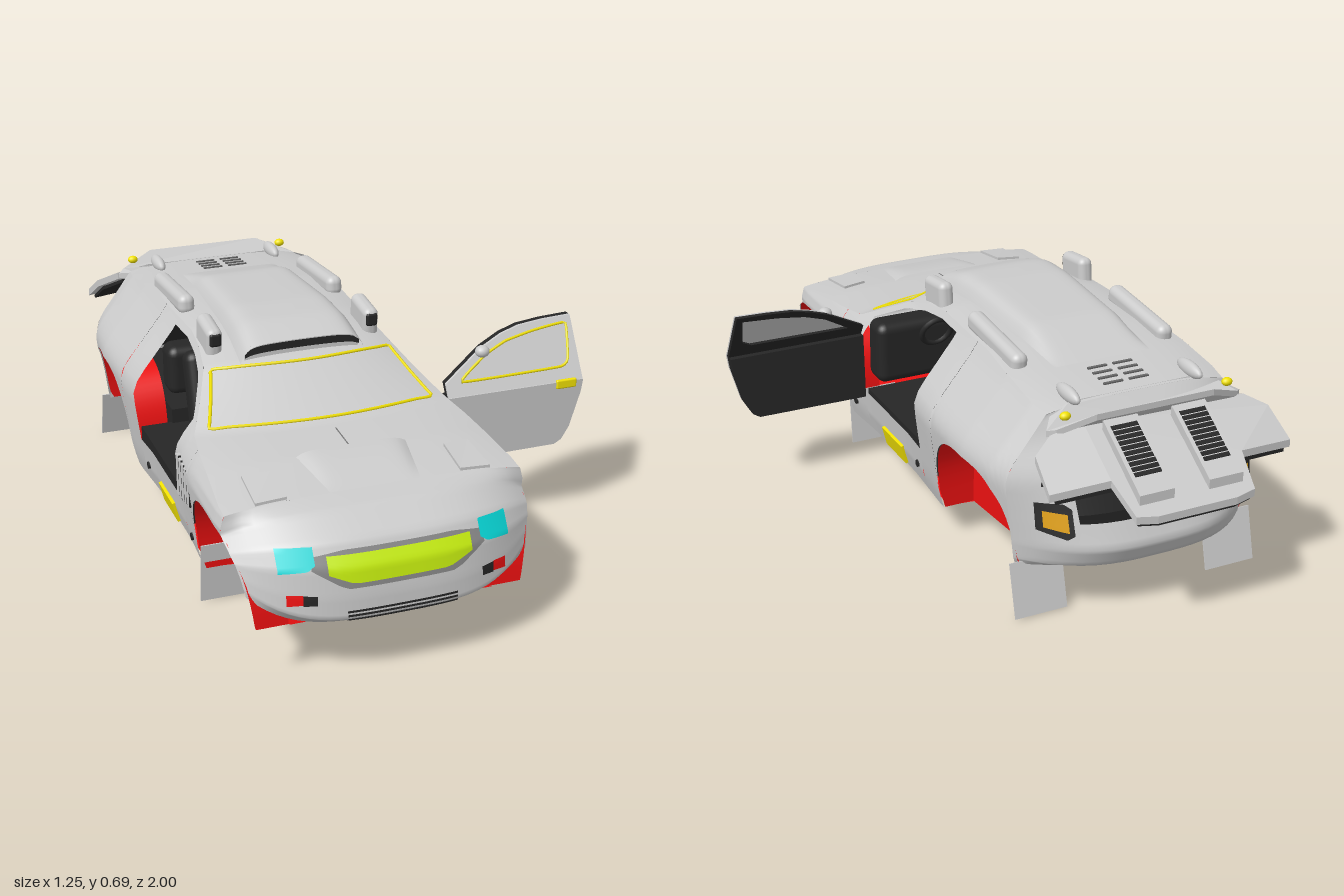
import * as THREE from 'three';
import { RoundedBoxGeometry } from 'three/addons/geometries/RoundedBoxGeometry.js';

const GREY = 0xcccccc, DARK = 0x262626, RED = 0xee1111, YELLOW = 0xf2e205, CYAN = 0x08d8d8, LIME = 0xc8f010;
const mat = (color) => new THREE.MeshStandardMaterial({ color, side: THREE.DoubleSide });
const lerp = THREE.MathUtils.lerp;

// piecewise-linear lookup in an ascending [key, value] table
function interp(table, t) {
  if (t <= table[0][0]) return table[0][1];
  for (let i = 1; i < table.length; i++) {
    const [a, va] = table[i - 1], [b, vb] = table[i];
    if (t <= b) return lerp(va, vb, (t - a) / (b - a));
  }
  return table[table.length - 1][1];
}

// body rules: half width by height, plan taper, edge and centre height of the top deck
const SIDE = [[.11, .375], [.17, .392], [.25, .402], [.35, .415], [.4, .42], [.43, .412], [.46, .393], [.5, .36], [.585, .292], [.63, .262]];
const PLAN = [[-.85, .86], [-.7, .91], [-.6, .98], [-.45, 1.01], [-.2, 1], [0, .965], [.3, .965], [.5, 1], [.75, 1.01], [.85, .99], [.92, .95]];
const EDGE = [[-.67, .581], [-.48, .605], [-.3, .622], [0, .622], [.1, .61], [.2, .585], [.4, .48], [.6, .46], [.8, .435]];
const CENTRE = [[-.67, .6], [-.48, .618], [-.3, .636], [0, .64], [.1, .63], [.2, .602], [.4, .487], [.6, .476], [.8, .452]];
const BOW = [[-.1, 0], [.2, .05], [.4, .06], [.8, 0]];
const FLOOR = [[-.68, .15], [-.24, .11], [.8, .11], [.93, .168]];
const halfX = (z, y) => interp(SIDE, y) * interp(PLAN, z);
const edgeY = (z) => interp(EDGE, z);
const floorY = (z) => interp(FLOOR, z);

const FRONT = .695, REAR = -.455, ARCH = .22;
const archY = (c) => (z) => .11 + .28 * Math.cbrt(Math.max(0, 1 - Math.abs((z - c) / ARCH) ** 3));

function deck(u, s) {
  const e = edgeY(s);
  return [u * halfX(s, e), lerp(interp(CENTRE, s), e, u ** 4), s + interp(BOW, s) * (1 - u * u)];
}
function deckY(x, z) {
  let s = z, u = 0;
  for (let i = 0; i < 6; i++) {
    u = THREE.MathUtils.clamp(x / halfX(s, edgeY(s)), -1, 1);
    s = z - interp(BOW, s) * (1 - u * u);
  }
  return deck(u, s)[1];
}
// end caps: rows of [centre z, centre y, edge z, edge y] blended across the car
const NOSE = [[.95, .16, .9, .25], [1, .19, .895, .27], [.997, .25, .885, .3], [.985, .33, .87, .33], [.95, .39, .845, .355], [.87, .44, .8, .379], [.8, .452, .8, .435]];
const TAIL = [[-.76, .15, -.665, .15], [-.82, .17, -.665, .17], [-.85, .23, -.665, .225], [-.82, .3, -.665, .3], [-.775, .4, -.665, .4], [-.73, .5, -.665, .5], [-.7, .565, -.665, .56], [-.665, .6, -.665, .581]];
const cap = (rows) => (u, v) => {
  const t = v * (rows.length - 1), i = Math.min(Math.floor(t), rows.length - 2);
  const [zc, yc, ze, ye] = rows[i].map((a, k) => lerp(a, rows[i + 1][k], t - i));
  return [u * halfX(ze, ye), lerp(yc, ye, u ** 4), lerp(zc, ze, Math.abs(u) ** 3)];
};
const nose = cap(NOSE), tail = cap(TAIL);

// surface grid from f(a, b), a and b in 0..1, with optional skipped cells
function grid(f, na, nb, skip = () => false) {
  const pos = [], idx = [], w = nb + 1;
  for (let i = 0; i <= na; i++) for (let j = 0; j <= nb; j++) pos.push(...f(i / na, j / nb));
  for (let i = 0; i < na; i++) for (let j = 0; j < nb; j++) {
    if (skip((i + .5) / na, (j + .5) / nb)) continue;
    const a = i * w + j, b = a + w;
    idx.push(a, b, a + 1, b, b + 1, a + 1);
  }
  const g = new THREE.BufferGeometry();
  g.setAttribute('position', new THREE.Float32BufferAttribute(pos, 3));
  g.setIndex(idx);
  g.computeVertexNormals();
  return g;
}
// flat plan outline of [x, z] points given thickness, laid on height yOf(x, z)
function slab(pts, h, yOf) {
  const g = new THREE.ExtrudeGeometry(new THREE.Shape(pts.map(([x, z]) => new THREE.Vector2(x, -z))), { depth: h, bevelEnabled: false });
  g.rotateX(-Math.PI / 2);
  const p = g.attributes.position;
  for (let i = 0; i < p.count; i++) p.setY(i, p.getY(i) + yOf(p.getX(i), p.getZ(i)));
  g.computeVertexNormals();
  return g;
}
const mirrored = (half) => [...half, ...half.map(([x, z]) => [-x, z]).reverse()];
const rect = (x0, x1, z0, z1) => [[x0, z0], [x1, z0], [x1, z1], [x0, z1]];
// patch on an end cap, from [x, bottom y, top y] columns
function band(surface, cols, lift) {
  const lo = cols.map((c) => [c[0], c[1]]), hi = cols.map((c) => [c[0], c[2]]);
  return (s) => grid((a, b) => {
    const x = lerp(cols[0][0], cols[cols.length - 1][0], a), y = lerp(interp(lo, x), interp(hi, x), b);
    let v0 = 0, v1 = 1;
    for (let k = 0; k < 24; k++) { const m = (v0 + v1) / 2; if (surface(x / .41, m)[1] < y) v0 = m; else v1 = m; }
    return [s * x, y, surface(x / .41, v0)[2] + lift];
  }, 20, 8);
}

export function createModel() {
  const root = new THREE.Group(), car = new THREE.Group();
  root.name = 'car'; car.name = 'carBody'; car.position.x = -.205;
  root.add(car);
  const add = (name, geo, color = GREY, pos) => {
    const m = new THREE.Mesh(geo, mat(color));
    m.name = name;
    if (pos) m.position.set(...pos);
    car.add(m);
    return m;
  };

  // shell: deck (bonnet, windscreen, roof), nose and tail with its open hatchway
  add('deck', grid((a, b) => deck(a * 2 - 1, lerp(.8, -.665, b)), 24, 90));
  add('headliner', grid((a, b) => { const p = deck((a * 2 - 1) * .97, lerp(.19, -.62, b)); return [p[0], p[1] - .015, p[2]]; }, 16, 20), DARK);
  add('nose', grid((a, b) => nose(a * 2 - 1, b), 32, 30));
  add('tail', grid((a, b) => tail(a * 2 - 1, b), 20, 28, (a, b) => b > 3 / 7 && b < 6 / 7 && Math.abs(a * 2 - 1) < (b > 4 / 7 ? .8 : .6)));
  add('trunkLining', grid((a, b) => { const p = tail((a * 2 - 1) * .9, lerp(.4, .9, b)); return [p[0], p[1], p[2] + .08]; }, 12, 8), DARK);

  for (const s of [-1, 1]) {
    // side panels, left open at the doors and wheel arches
    const side = (name, z0, z1, low, high, n = 12) => add(name, grid((a, b) => {
      const z = lerp(z0, z1, a), y = lerp(low(z), high(z), b);
      return [s * halfX(z, y), y, z];
    }, n, 14));
    const sillY = () => .11;
    side('frontFender', .8, .476, archY(FRONT), edgeY, 28);
    side('cowlSide', .475, .33, sillY, edgeY);
    side('sill', .33, -.11, sillY, () => .25);
    side('roofRail', .4, -.11, (z) => edgeY(z) - .02, edgeY, 24);
    side('doorPost', -.11, -.235, sillY, edgeY);
    side('rearQuarter', -.236, -.665, archY(REAR), edgeY, 40);

    // wheel wells, trimmed to the rising ends of the floor
    for (const c of [FRONT, REAR]) {
      const arc = (t) => {
        const q = Math.cos(t * Math.PI), r = Math.sin(t * Math.PI);
        const z = c + ARCH * Math.sign(q) * Math.abs(q) ** (2 / 3);
        return [z, Math.max(floorY(z), .11 + .28 * Math.abs(r) ** (2 / 3))];
      };
      add('wheelWell', grid((a, b) => {
        const [z, y] = arc(a);
        return [s * lerp(.28, halfX(z, y) - .004, b), y, z];
      }, 32, 1), RED);
      const outline = Array.from({ length: 33 }, (_, i) => arc(i / 32));
      if (c === FRONT) outline.push([.48, .11], [.8, .11]);
      const wall = new THREE.Shape(outline.map((p) => new THREE.Vector2(...p)));
      add('wheelWellWall', new THREE.ShapeGeometry(wall).rotateY(-Math.PI / 2), RED, [s * .28, 0, 0]);
    }
    // mud flaps
    for (const [z, h, tilt] of [[.47, .18, .09], [-.7, .16, .26]])
      add('mudFlap', new THREE.BoxGeometry(.16, h, .004), GREY, [s * .305, h / 2 + .003, z]).rotation.x = tilt;

    // lamps
    add('headlight', band(nose, [[.225, .343, .384], [.245, .33, .384], [.315, .323, .38]], .005)(s), CYAN);
    add('fogLamp', band(nose, [[.26, .243, .27], [.3, .24, .27]], .005)(s), RED);
    add('fogLampHousing', band(nose, [[.225, .24, .265], [.26, .24, .268]], .005)(s), DARK);
    add('tailLampHousing', band(tail, [[.25, .275, .345], [.27, .265, .36], [.34, .29, .365]], -.008)(s), DARK);
    add('tailLamp', band(tail, [[.265, .285, .335], [.325, .3, .345]], -.014)(s), 0xe0a010);

    // sill fittings and fender louvres
    add('sillPlate', new THREE.BoxGeometry(.01, .062, .15), YELLOW, [s * .376, .15, .125]).rotation.z = -s * .25;
    for (const z of [.41, -.07])
      add('jackPoint', new THREE.CylinderGeometry(.011, .011, .01, 16).rotateZ(Math.PI / 2), DARK, [s * halfX(z, .18), .18, z]);
    for (let i = 0; i < 5; i++) {
      add('fenderLouvre', new THREE.BoxGeometry(.014, .12 - i * .006, .018), GREY, [s * halfX(.4, .36), .36, .378 + i * .025]);
      add('fenderSlot', new THREE.BoxGeometry(.012, .12 - i * .006, .005), DARK, [s * halfX(.4, .36), .36, .39 + i * .025]);
    }

    // roof pods, fins and bonnet vents
    add('roofPodFront', new RoundedBoxGeometry(.046, .1, .13, 4, .02), GREY, [s * .235, .635, .1]).rotation.x = .12;
    add('roofPodLamp', new RoundedBoxGeometry(.034, .04, .02, 2, .008), DARK, [s * .235, .648, .16]);
    add('roofPodRear', new RoundedBoxGeometry(.05, .06, .31, 4, .022), GREY, [s * .232, .635, -.285]).rotation.x = -.08;
    add('roofFin', new THREE.SphereGeometry(1, 20, 12).scale(.018, .022, .06), GREY, [s * .19, .612, -.63]);
    add('spoilerLamp', new THREE.SphereGeometry(1, 16, 10).scale(.016, .012, .013), YELLOW, [s * .25, .6, -.725]);
    add('bonnetVent', slab([[s * .245, .67], [s * .32, .66], [s * .325, .795], [s * .24, .795]], .008, deckY));

    // front seats
    add('seatCushion', new RoundedBoxGeometry(.2, .08, .26, 3, .03), DARK, [s * .16, .265, .03]);
    add('seatBack', new RoundedBoxGeometry(.2, .26, .08, 3, .03), DARK, [s * .16, .39, -.07]).rotation.x = -.3;
    add('headrest', new RoundedBoxGeometry(.11, .08, .05, 3, .02), DARK, [s * .16, .54, -.11]);
  }

  // grilles
  add('grilleSurround', band(nose, [[-.235, .33, .36], [-.15, .276, .372], [.15, .276, .372], [.235, .33, .36]], .003)(1), 0x888888);
  add('grille', band(nose, [[-.195, .318, .362], [-.13, .29, .362], [.13, .29, .362], [.195, .318, .362]], .006)(1), LIME);
  for (let i = 0; i < 4; i++)
    add('lowerGrilleSlat', band(nose, [[-.15, .178 + i * .011, .184 + i * .011], [.15, .178 + i * .011, .184 + i * .011]], .004)(1), DARK);

  // windscreen trim
  const loop = [];
  const corners = [[-.9, .385], [.9, .385], [.93, .212], [-.93, .212]];
  corners.forEach((c, i) => {
    const d = corners[(i + 1) % 4];
    for (let k = 0; k < 12; k++) loop.push(new THREE.Vector3(...deck(lerp(c[0], d[0], k / 12), lerp(c[1], d[1], k / 12))));
  });
  add('windscreenTrim', new THREE.TubeGeometry(new THREE.CatmullRomCurve3(loop, true), 144, .005, 6, true), YELLOW);

  // bonnet scoop and seam
  add('bonnetScoop', grid((a, b) => {
    const u = a * 2 - 1, z = lerp(.62, .8, b), x = u * lerp(.155, .125, b);
    return [x, deckY(x, z) + .014 * (1 - u ** 8) * Math.sin(Math.PI * Math.min(1, b * .6 + .4)) + .001, z];
  }, 20, 10));
  add('bonnetSeam', grid((a, b) => { const x = (a - .5) * .004, z = lerp(.5, .62, b); return [x, deckY(x, z) + .002, z]; }, 1, 12), 0x777777);

  // roof scoop with a dark slot in its face, and rear louvres
  const RISE = [[-.48, 0], [-.3, .035], [0, .045], [.15, .05], [.235, .042]];
  const scoop = (u, z) => {
    const x = u * interp([[-.48, .15], [.24, .185]], z);
    return [x, deckY(x, z) + interp(RISE, z) * (1 - u ** 10) + .001, z];
  };
  add('roofScoop', grid((a, b) => scoop(a * 2 - 1, lerp(.235, -.48, b)), 30, 30));
  for (const [name, z, lo, hi, color] of [['scoopFace', .225, 0, 1, GREY], ['scoopSlot', .23, .35, .85, DARK]])
    add(name, grid((a, b) => { const p = scoop((a * 2 - 1) * .92, z); return [p[0], lerp(deckY(p[0], z), p[1], lerp(lo, hi, b)), z]; }, 20, 1), color);
  for (let i = 0; i < 4; i++)
    for (const x of [-.04, .04]) add('rearLouvre', slab(rect(x - .03, x + .03, -.515 - i * .03, -.523 - i * .03), .004, deckY), 0x666666);

  // spoiler and raised tailgate
  add('spoiler', slab(mirrored([[.2, -.655], [.26, -.66], [.3, -.715], [.28, -.735], [.18, -.77]]), .018, (x) => .592 - .4 * Math.max(0, Math.abs(x) - .18)));
  const gateY = (x, z) => .56 + (z + .72) * .62 - .15 * Math.max(0, Math.abs(x) - .2);
  const gate = mirrored([[.2, -.73], [.3, -.735], [.36, -.77], [.37, -.87], [.2, -.89], [.18, -.99], [.12, -1]]);
  add('tailgate', slab(gate, .022, gateY));
  add('tailgateLining', slab(gate.map(([x, z]) => [x * .95, z * .95 - .043]), .012, (x, z) => gateY(x, z) - .014), DARK);
  for (const s of [-1, 1]) {
    add('tailgatePod', slab(rect(s * .105 - .052, s * .105 + .052, -.76, -.965), .03, (x, z) => gateY(x, z) + .02));
    for (let i = 0; i < 10; i++)
      add('tailgateVent', slab(rect(s * .105 - .04, s * .105 + .04, -.782 - i * .014, -.792 - i * .014), .004, (x, z) => gateY(x, z) + .048), DARK);
  }

  // underbody, waisted at the wheels, and cabin
  const WAIST = [[-.68, .28], [-.236, .28], [-.235, .358], [.474, .358], [.475, .28], [.93, .28]];
  add('underbody', grid((a, b) => {
    const z = lerp(-.68, .93, b);
    return [(a * 2 - 1) * interp(WAIST, z), floorY(z), z];
  }, 2, 161), RED);
  add('cabinFloor', new THREE.BoxGeometry(.74, .06, .56), DARK, [0, .215, .07]);
  add('rearFloor', new THREE.BoxGeometry(.55, .1, .5), DARK, [0, .24, -.45]);
  add('rearBench', new RoundedBoxGeometry(.5, .16, .1, 3, .03), DARK, [0, .36, -.36]);
  add('dashboard', new RoundedBoxGeometry(.7, .2, .1, 3, .03), DARK, [0, .37, .35]);
  add('steeringWheel', new THREE.TorusGeometry(.05, .009, 8, 24), DARK, [.16, .43, .285]).rotation.x = -.4;
  add('gearLever', new THREE.CylinderGeometry(.008, .012, .09, 10), DARK, [0, .29, .23]);
  add('gearKnob', new THREE.SphereGeometry(.022, 12, 10), DARK, [0, .34, .23]);

  // open left door, leaning inward above the waist
  const doorZ = (y) => .335 + Math.min(y - .25, .2) * .05 - Math.max(0, y - .45) * .62;
  const panel = (pts, depth, back, hole) => {
    const v = (list) => list.map(([x, y]) => new THREE.Vector2(x, y));
    const shape = new THREE.Shape(v(pts));
    if (hole) shape.holes.push(new THREE.Path(v(hole)));
    const g = new THREE.ExtrudeGeometry(shape, { depth, bevelEnabled: false });
    const p = g.attributes.position;
    for (let i = 0; i < p.count; i++) p.setZ(i, p.getZ(i) - back + doorZ(p.getY(i)));
    g.computeVertexNormals();
    return g;
  };
  const lower = [[.4, .245], [.75, .247], [.772, .26], [.795, .3], [.825, .41], [.83, .45], [.4, .45]];
  const upper = [[.4, .45], [.83, .45], [.83, .615], [.74, .612], [.66, .605], [.6, .59], [.53, .562], [.4, .485]];
  const glass = [[.45, .486], [.765, .488], [.795, .505], [.81, .597], [.7, .588], [.61, .572], [.54, .545]];
  add('doorPanel', panel(lower, .012, .002));
  add('doorUpper', panel(upper, .008, .002));
  add('doorLining', panel(lower, .035, .038), DARK);
  add('doorFrameLining', panel(upper, .016, .019, glass), DARK);
  const trim = new THREE.CatmullRomCurve3(glass.map(([x, y]) => new THREE.Vector3(x, y, doorZ(y) + .007)), true, 'catmullrom', .15);
  add('doorWindowTrim', new THREE.TubeGeometry(trim, 80, .004, 6, true), YELLOW);
  add('doorHandle', new RoundedBoxGeometry(.065, .028, .012, 2, .005), YELLOW, [.775, .443, .353]);
  add('doorMirror', new THREE.SphereGeometry(1, 16, 12).scale(.022, .018, .02), GREY, [.53, .555, .29]);
  return root;
}
